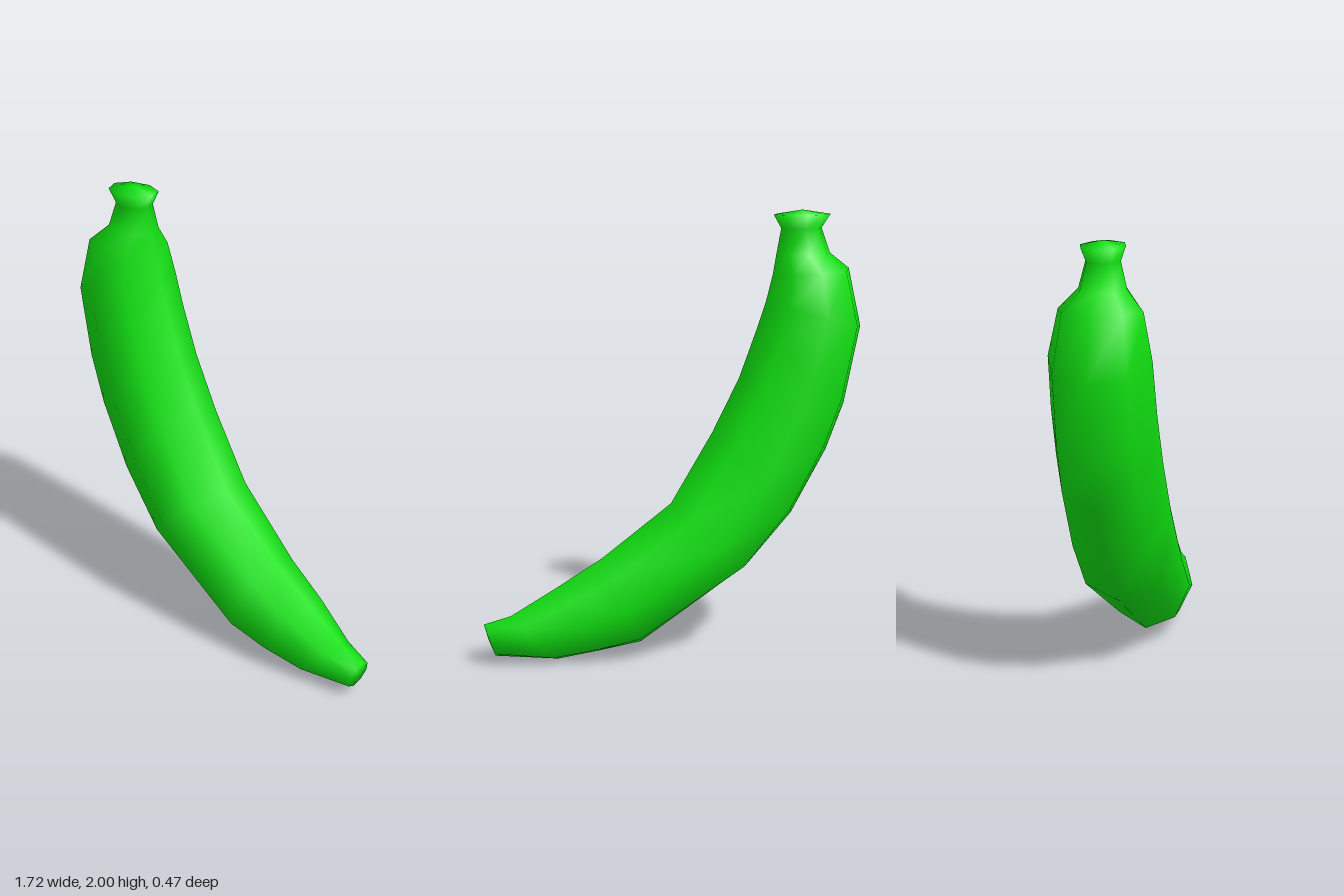
import * as THREE from 'three';

const SIDES = 8;

// Cross-sections from blossom tip to stem:
// [outer x, outer y, inner x, inner y, half width in z]
const RINGS = [
  [0.81, 0.04, 0.86, 0.19, 0.055],
  [0.53, 0.005, 0.74, 0.22, 0.105],
  [0.34, 0.03, 0.53, 0.34, 0.163],
  [0.15, 0.06, 0.33, 0.46, 0.19],
  [-0.34, 0.39, 0.01, 0.70, 0.237],
  [-0.55, 0.63, -0.18, 1.02, 0.233],
  [-0.71, 0.92, -0.30, 1.26, 0.228],
  [-0.79, 1.13, -0.38, 1.48, 0.222],
  [-0.86, 1.48, -0.42, 1.60, 0.215],
  [-0.80, 1.74, -0.45, 1.72, 0.175],
  [-0.71, 1.81, -0.465, 1.81, 0.10],
  [-0.67, 1.92, -0.485, 1.92, 0.072],
  [-0.71, 1.98, -0.45, 1.98, 0.093],
];

// Skins the rings into one closed, smooth surface
function loft(rings, startCentre, endCentre) {
  const positions = [];
  const index = [];
  for (const [ox, oy, ix, iy, w] of rings) {
    for (let j = 0; j < SIDES; j++) {
      const a = (j / SIDES) * Math.PI * 2;
      const t = (1 + Math.cos(a)) / 2;
      positions.push(ox + (ix - ox) * t, oy + (iy - oy) * t, w * Math.sin(a));
    }
  }
  const start = rings.length * SIDES;
  const end = start + 1;
  const last = (rings.length - 1) * SIDES;
  positions.push(...startCentre, ...endCentre);

  for (let j = 0; j < SIDES; j++) {
    const k = (j + 1) % SIDES;
    for (let r = 0; r < last; r += SIDES) {
      index.push(r + j, r + SIDES + j, r + k);
      index.push(r + k, r + SIDES + j, r + SIDES + k);
    }
    // End caps
    index.push(start, j, k);
    index.push(end, last + k, last + j);
  }

  const geometry = new THREE.BufferGeometry();
  geometry.setAttribute('position', new THREE.Float32BufferAttribute(positions, 3));
  geometry.setIndex(index);
  geometry.computeVertexNormals();
  return geometry;
}

export function createModel() {
  const group = new THREE.Group();
  group.name = 'banana';

  // Curved fruit with its tip, shoulder, neck and flared stem end
  const peel = new THREE.Mesh(
    loft(RINGS, [0.84, 0.115, 0], [-0.58, 2.0, 0]),
    new THREE.MeshStandardMaterial({ color: 0x10e010 })
  );
  peel.name = 'peel';
  group.add(peel);
  return group;
}
